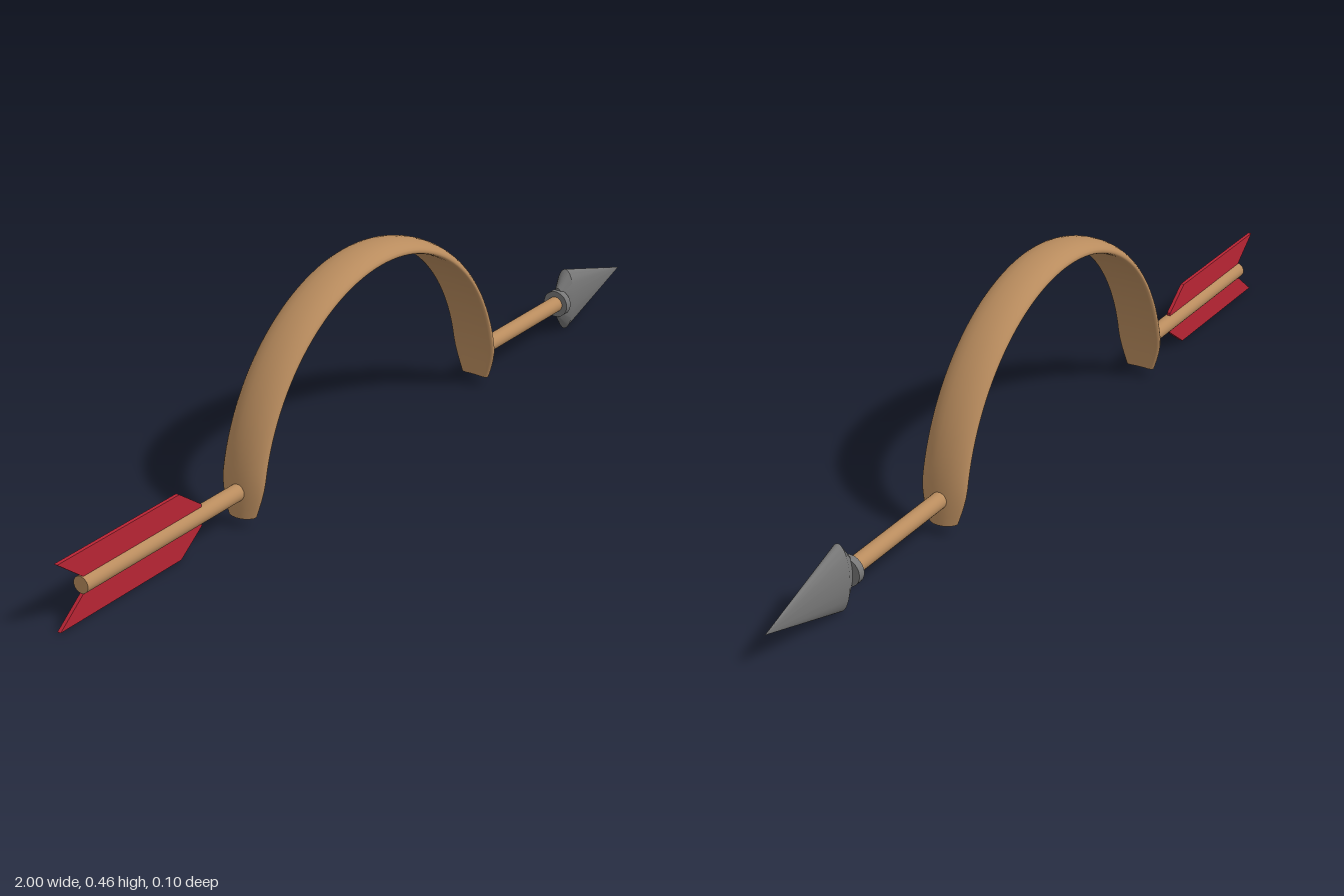
import * as THREE from 'three';
import { toCreasedNormals } from 'three/addons/utils/BufferGeometryUtils.js';

const AXIS_Y = 0.074;
const BAND = { x: -0.034, y: 0.02, r: 0.44 };

const wood = new THREE.MeshStandardMaterial({ color: 0xb98c5e });
const red = new THREE.MeshStandardMaterial({ color: 0xb82434 });
const steel = new THREE.MeshStandardMaterial({ color: 0x777777 });

function add(group, name, geometry, material) {
  const mesh = new THREE.Mesh(geometry, material);
  mesh.name = name;
  group.add(mesh);
  return mesh;
}

// Arched band: a gently curved lens section swept over a half circle
function bandGeometry() {
  const steps = 64, sides = 24, half = 0.0135, bow = 0.009;
  const pos = [], index = [];
  const put = (t, r, z) => pos.push(BAND.x + r * Math.cos(t), BAND.y + r * Math.sin(t), z);
  const ring = (t) => {
    const rise = Math.min(1, (BAND.r * Math.sin(t)) / 0.09);
    const width = 0.033 + 0.0195 * Math.sin((rise * Math.PI) / 2);
    for (let j = 0; j < sides; j++) {
      const a = (j / sides) * Math.PI * 2;
      const c = Math.cos(a), s = Math.sin(a);
      const u = Math.sign(c) * Math.abs(c) ** 0.85;
      const v = Math.sign(s) * Math.abs(s) ** 0.85;
      put(t, BAND.r - half + half * v - bow * u * u, width * u);
    }
  };
  for (let i = 0; i <= steps; i++) ring((i / steps) * Math.PI);
  for (let i = 0; i < steps; i++) {
    for (let j = 0; j < sides; j++) {
      const a = i * sides + j, b = i * sides + ((j + 1) % sides);
      index.push(a, b, a + sides, b, b + sides, a + sides);
    }
  }
  // flat ends
  for (const t of [0, Math.PI]) {
    const first = pos.length / 3;
    ring(t);
    const centre = pos.length / 3;
    put(t, BAND.r - half, 0);
    for (let j = 0; j < sides; j++) {
      const a = first + j, b = first + ((j + 1) % sides);
      if (t === 0) index.push(centre, b, a);
      else index.push(centre, a, b);
    }
  }
  const g = new THREE.BufferGeometry();
  g.setAttribute('position', new THREE.Float32BufferAttribute(pos, 3));
  g.setIndex(index);
  g.computeVertexNormals();
  return g;
}

// Cylinder lying along x between two positions
function rod(x0, x1, radius) {
  return new THREE.CylinderGeometry(radius, radius, x1 - x0, 24)
    .rotateZ(-Math.PI / 2)
    .translate((x0 + x1) / 2, AXIS_Y, 0);
}

export function createModel() {
  const model = new THREE.Group();
  model.name = 'arrowHeadband';

  add(model, 'headband', bandGeometry(), wood);

  // Two separate shaft halves, each ending inside the band
  add(model, 'rearShaft', rod(-0.935, -0.455, 0.018), wood);
  add(model, 'frontShaft', rod(0.387, 0.72, 0.018), wood);

  // Swallow-tailed feather vanes above and below the shaft
  const thickness = 0.008;
  const vane = new THREE.Shape([
    [-0.91, 0], [-0.935, 0.02], [-1, 0.071], [-0.65, 0.071], [-0.585, 0.024], [-0.585, 0],
  ].map(([x, y]) => new THREE.Vector2(x, y)));
  for (const [name, turn] of [['upperVane', 0], ['lowerVane', Math.PI]]) {
    const g = new THREE.ExtrudeGeometry(vane, { depth: thickness, bevelEnabled: false })
      .translate(0, 0, -thickness / 2)
      .rotateX(turn)
      .translate(0, AXIS_Y, 0);
    add(model, name, g, red);
  }

  // Flattened arrowhead with a short round collar
  add(model, 'arrowheadCollar', rod(0.715, 0.732, 0.031), steel);
  const profile = [[0, 0.725], [0.036, 0.725], [0.074, 0.755], [0, 0.997]]
    .map(([r, h]) => new THREE.Vector2(r, h));
  const head = new THREE.LatheGeometry(profile, 40)
    .rotateZ(-Math.PI / 2)
    .scale(1, 1, 0.335)
    .translate(0, AXIS_Y, 0);
  add(model, 'arrowhead', toCreasedNormals(head, 0.6), steel);

  return model;
}
